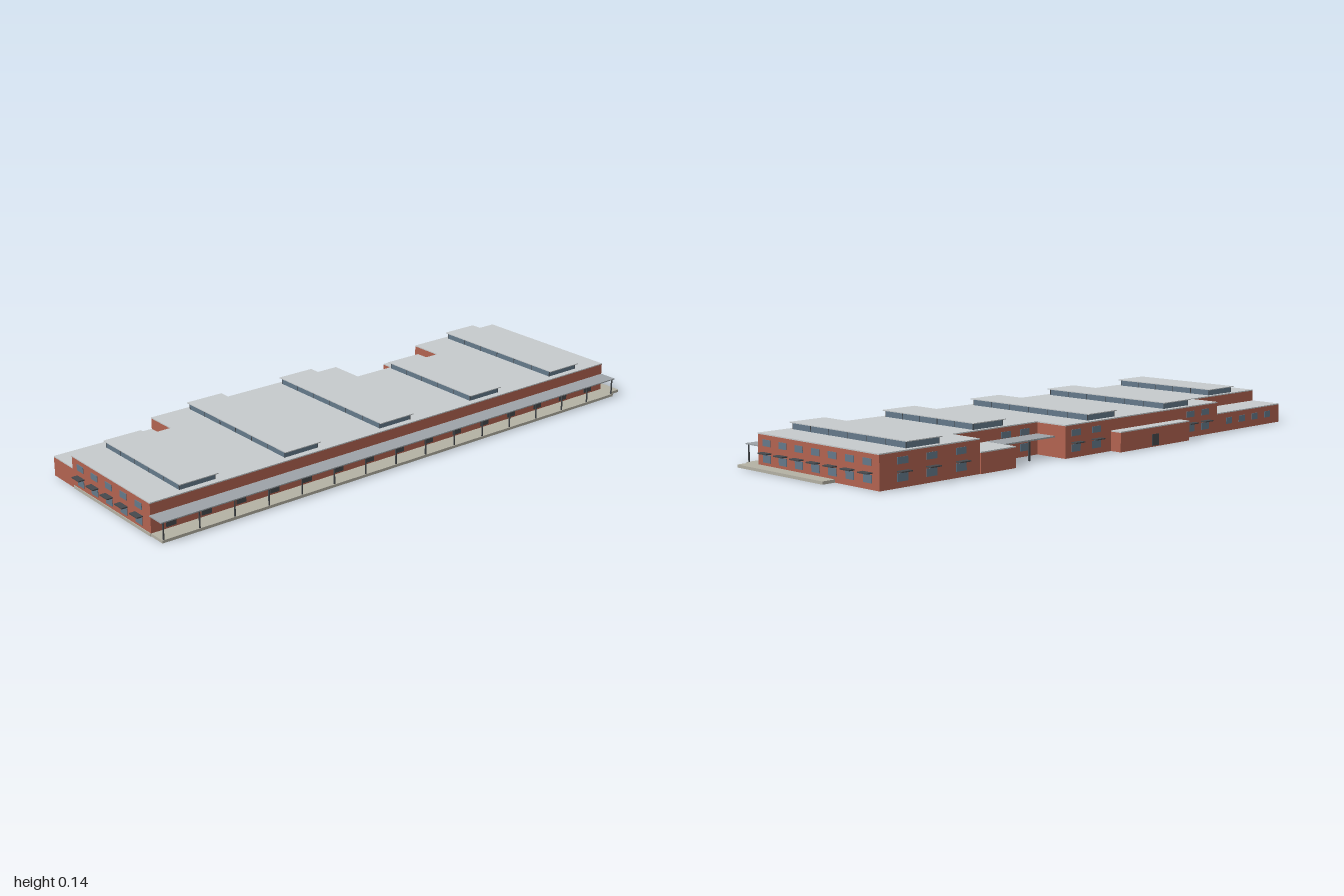
import * as THREE from 'three';

const mat = (color, side = THREE.FrontSide) => new THREE.MeshStandardMaterial({ color, side, flatShading: true });

export function createModel() {
  const model = new THREE.Group();
  // the building is drawn along x (length) and z (depth), then turned on the site
  const site = new THREE.Group();
  site.name = 'building';
  site.rotation.y = 0.8865;
  model.add(site);

  const brick = mat(0xb26350, THREE.DoubleSide), glass = mat(0x64798a, THREE.DoubleSide);
  const roofGrey = mat(0xc6cacc), canopyGrey = mat(0x9da3a8), dark = mat(0x45494d), paving = mat(0xb4b1a4);

  const add = (name, geometry, material) => {
    const mesh = new THREE.Mesh(geometry, material);
    mesh.name = name;
    site.add(mesh);
    return mesh;
  };

  // box given by its two extreme corners
  const box = (name, m, x0, x1, y0, y1, z0, z1) => {
    add(name, new THREE.BoxGeometry(x1 - x0, y1 - y0, z1 - z0), m)
      .position.set((x0 + x1) / 2, (y0 + y1) / 2, (z0 + z1) / 2);
  };

  // thin upright walls around an outline, open at top and bottom
  const walls = (name, m, outline, y0, y1) => {
    const pos = [];
    outline.forEach(([ax, az], i) => {
      const [bx, bz] = outline[(i + 1) % outline.length];
      pos.push(ax, y0, az, bx, y0, bz, bx, y1, bz, ax, y0, az, bx, y1, bz, ax, y1, az);
    });
    const g = new THREE.BufferGeometry();
    g.setAttribute('position', new THREE.Float32BufferAttribute(pos, 3));
    g.computeVertexNormals();
    add(name, g, m);
  };
  const rect = (x0, x1, z0, z1) => [[x0, z1], [x1, z1], [x1, z0], [x0, z0]];

  // main hall: wall shell and flat roof, with two recesses on the rear side
  const L = 1.017, F = 0.262, B = -0.345, R = -0.213;
  const hall = [[-L, F], [L, F], [L, B], [0.598, B], [0.598, R], [0.198, R],
    [0.198, B], [-0.628, B], [-0.628, R - 0.006], [-L, R - 0.006]];
  walls('brickWalls', brick, hall, 0, 0.111);
  const roofShape = new THREE.Shape(hall.map(([x, z]) => new THREE.Vector2(x, -z)));
  const roof = new THREE.ExtrudeGeometry(roofShape, { depth: 0.004, bevelEnabled: false });
  roof.rotateX(-Math.PI / 2);
  roof.translate(0, 0.111, 0);
  add('roof', roof, roofGrey);

  // single storey annexes with flat roofs
  const annex = (name, x0, x1, z0, z1, h) => {
    walls(name + 'Walls', brick, rect(x0, x1, z0, z1), 0, h - 0.004);
    box(name + 'Roof', roofGrey, x0, x1, h - 0.004, h, z0, z1);
  };
  annex('endAnnex', -L, -0.628, B, R - 0.006, 0.072);
  annex('recessAnnex', 0.44, 0.598, -0.35, R, 0.072);
  annex('rearPorch', -0.408, -0.032, -0.39, B, 0.072);
  box('porchDoor', dark, -0.235, -0.2, 0.004, 0.045, -0.392, -0.388);

  // canopy in the rear recess with its post
  box('recessCanopy', canopyGrey, 0.198, 0.44, 0.068, 0.073, -0.295, R);
  box('recessPost', dark, 0.312, 0.317, 0, 0.068, -0.29, -0.285);

  // covered walkway along the front
  box('walkwayPaving', paving, -L, L, 0, 0.01, F, 0.327);
  box('endPaving', paving, L, 1.067, 0, 0.01, -0.133, 0.309);
  box('endPlinth', paving, -L - 0.003, -L, 0, 0.01, R, F);
  box('walkwayCanopy', canopyGrey, -1.021, L, 0.069, 0.073, F, 0.33);
  const bays = 15, step = 2.02 / bays;
  for (let i = 0; i <= bays; i++) {
    const x = -1.01 + i * step;
    box('walkwayPost', dark, x - 0.002, x + 0.002, 0.01, 0.069, 0.321, 0.325);
    if (i === bays) continue;
    box('walkwayWindow', dark, x + 0.048, x + 0.086, 0.016, 0.05, F - 0.001, F + 0.002);
  }

  // two rows of windows with a sunshade over the lower one
  const rows = [[0.02, 0.046], [0.074, 0.096]];
  const endBay = (s, z) => {
    const xs = (a, b) => (s > 0 ? [L + a, L + b] : [-L - b, -L - a]);
    for (const [y0, y1] of rows) box('endWindow', glass, ...xs(-0.001, 0.002), y0, y1, z - 0.02, z + 0.02);
    box('endSunshade', dark, ...xs(0, 0.022), 0.05, 0.054, z - 0.023, z + 0.023);
  };
  for (let i = 0; i < 5; i++) endBay(-1, -0.166 + i * 0.09);
  for (let i = 0; i < 7; i++) endBay(1, -0.29 + i * 0.084);

  const rearBay = (x, z, shade) => {
    for (const [y0, y1] of rows) box('rearWindow', glass, x - 0.022, x + 0.022, y0, y1, z - 0.002, z + 0.001);
    if (shade) box('rearSunshade', dark, x - 0.023, x + 0.023, 0.05, 0.054, z - 0.022, z);
  };
  for (const x of [0.925, 0.805, 0.68, 0.147, 0.045, -0.469, -0.555]) rearBay(x, B, true);
  for (const x of [0.26, 0.35]) rearBay(x, R, false);
  for (const x of [-0.7, -0.78, -0.86, -0.94]) {
    box('annexWindow', glass, x - 0.018, x + 0.018, 0.026, 0.05, B - 0.002, B + 0.001);
  }

  // five raised roof lights: glazed sides, mullions and an overhanging cap
  const lights = [[-0.892, -0.205], [-0.478, -0.325], [-0.07, -0.325], [0.352, -0.2], [0.755, -0.325]];
  for (const [x0, z0] of lights) {
    const x1 = x0 + 0.137, z1 = 0.238;
    walls('roofLightGlazing', glass, rect(x0, x1, z0, z1), 0.115, 0.136);
    box('roofLightCap', roofGrey, x0 - 0.005, x1 + 0.005, 0.136, 0.139, z0 - 0.01, z1 + 0.012);
    const n = Math.round((z1 - z0) / 0.09);
    for (let i = 0; i <= n; i++) {
      const z = z0 + ((z1 - z0) * i) / n;
      for (const x of [x0, x1]) box('roofLightMullion', dark, x - 0.001, x + 0.001, 0.115, 0.136, z - 0.001, z + 0.001);
    }
  }
  return model;
}
